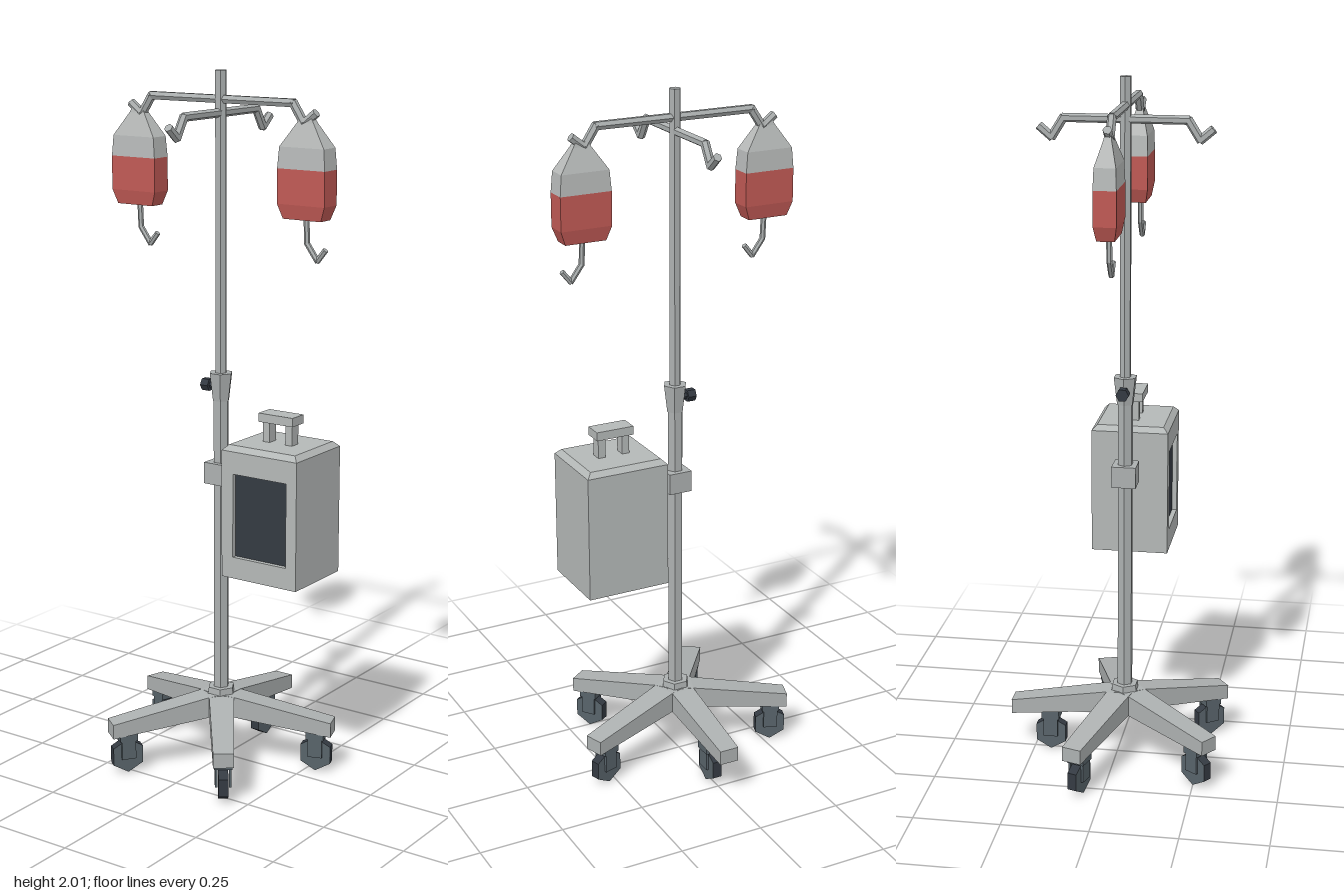
import * as THREE from 'three';

const mat = (name, color) => {
  const m = new THREE.MeshStandardMaterial({ color, flatShading: true });
  m.name = name;
  return m;
};
const V = (x, y, z) => new THREE.Vector3(x, y, z);

// Skin between four-cornered rings, closed at both ends
function loft(rings) {
  const p = [];
  const quad = (a, b, c, d) => [a, b, c, a, c, d].forEach(v => p.push(v.x, v.y, v.z));
  for (let k = 0; k < rings.length - 1; k++) {
    for (let i = 0; i < 4; i++) {
      const j = (i + 1) % 4;
      quad(rings[k][i], rings[k][j], rings[k + 1][j], rings[k + 1][i]);
    }
  }
  quad(...rings[rings.length - 1]);
  quad(...[...rings[0]].reverse());
  const g = new THREE.BufferGeometry();
  g.setAttribute('position', new THREE.Float32BufferAttribute(p, 3));
  g.computeVertexNormals();
  return g;
}
// Horizontal rectangle with half sizes w and d at height y
const ringY = (y, w, d, x = 0, z = 0) => [V(x + w, y, z + d), V(x + w, y, z - d), V(x - w, y, z - d), V(x - w, y, z + d)];
// Upright rectangle at distance z
const ringZ = (z, w, y0, y1) => [V(w, y0, z), V(w, y1, z), V(-w, y1, z), V(-w, y0, z)];

export function createModel() {
  const root = new THREE.Group();
  root.name = 'dripStand';
  const stand = new THREE.Group();
  stand.name = 'stand';
  stand.position.z = 0.023;
  root.add(stand);

  const metal = mat('metal grey', 0xacb0b0);
  const shell = mat('casing grey', 0xb4b8b7);
  const clear = mat('bag grey', 0xb8bbba);
  const red = mat('fluid red', 0xc05a55);
  const dark = mat('dark grey', 0x343a42);
  const slate = mat('caster slate', 0x58636a);

  const add = (parent, name, geo, m, x = 0, y = 0, z = 0) => {
    const mesh = new THREE.Mesh(geo, m);
    mesh.name = name;
    mesh.position.set(x, y, z);
    parent.add(mesh);
    return mesh;
  };
  const box = (parent, name, m, x0, x1, y0, y1, z0, z1) =>
    add(parent, name, new THREE.BoxGeometry(x1 - x0, y1 - y0, z1 - z0), m, (x0 + x1) / 2, (y0 + y1) / 2, (z0 + z1) / 2);
  const hex = (parent, name, m, rTop, rBottom, y0, y1) =>
    add(parent, name, new THREE.CylinderGeometry(rTop, rBottom, y1 - y0, 6).rotateY(Math.PI / 6), m, 0, (y0 + y1) / 2, 0);
  // Bent rod made of straight six-sided pieces
  const rod = (parent, name, m, r, points) => {
    const g = new THREE.Group();
    g.name = name;
    parent.add(g);
    for (let i = 0; i < points.length - 1; i++) {
      const dir = points[i + 1].clone().sub(points[i]);
      const piece = add(g, name + 'Piece', new THREE.CylinderGeometry(r, r, dir.length() + r * 0.6, 6), m);
      piece.position.copy(points[i]).addScaledVector(dir, 0.5);
      piece.quaternion.setFromUnitVectors(V(0, 1, 0), dir.normalize());
    }
  };

  // Telescopic pole, collar and locking knob
  hex(stand, 'lowerPole', metal, 0.023, 0.023, 0.13, 1.09);
  hex(stand, 'upperPole', metal, 0.017, 0.017, 1.09, 2);
  hex(stand, 'collar', metal, 0.035, 0.025, 1.08, 1.16);
  const knob = add(stand, 'lockKnob', new THREE.CylinderGeometry(0.019, 0.019, 0.025, 6), dark, -0.047, 1.12, 0);
  knob.rotation.z = Math.PI / 2;
  const stem = add(stand, 'knobStem', new THREE.CylinderGeometry(0.01, 0.01, 0.03, 6), dark, -0.028, 1.12, 0);
  stem.rotation.z = Math.PI / 2;

  // Five-legged base
  hex(stand, 'hub', metal, 0.04, 0.05, 0.14, 0.22);
  const legGeo = loft([ringZ(0, 0.036, 0.138, 0.203), ringZ(0.05, 0.036, 0.138, 0.2), ringZ(0.338, 0.029, 0.107, 0.15)]);
  const wheelGeo = new THREE.CylinderGeometry(0.051, 0.051, 0.028, 6).rotateY(Math.PI / 6).rotateZ(Math.PI / 2);
  for (let i = 0; i < 5; i++) {
    const leg = new THREE.Group();
    leg.name = 'leg' + (i + 1);
    leg.rotation.y = Math.PI + i * Math.PI * 0.4;
    stand.add(leg);
    add(leg, 'legBeam', legGeo, metal);
    // Caster; the rear one sits further in
    const r = i === 0 ? 0.222 : 0.29;
    const caster = new THREE.Group();
    caster.name = 'caster';
    caster.position.z = r;
    leg.add(caster);
    box(caster, 'forkTop', slate, -0.026, 0.026, 0.092, 0.128, -0.026, 0.026);
    for (const s of [-1, 1]) {
      add(caster, 'forkSide', new THREE.BoxGeometry(0.007, 0.06, 0.042), slate, s * 0.02, 0.067, 0);
    }
    add(caster, 'wheel', wheelGeo, [dark, slate, slate], 0, 0.0445, 0);
  }

  // Crossed bars with hooked ends
  const barEnds = [[0.235, 0], [0.27, -0.053], [0.305, -0.025]];
  const crossEnds = [[0.172, 0], [0.205, -0.053], [0.238, -0.025]];
  const path = (ends, at) => [
    ...[...ends].reverse().map(([a, h]) => at(-a, h)), ...ends.map(([a, h]) => at(a, h))];
  rod(stand, 'sideBar', metal, 0.0125, path(barEnds, (a, h) => V(a, 1.922 + h, 0)));
  rod(stand, 'frontBackBar', metal, 0.0125, path(crossEnds, (a, h) => V(0, 1.885 + h, a)));

  // Hanging bags, each with a hooked outlet tube
  const fluidGeo = loft([ringY(1.615, 0.06, 0.024), ringY(1.655, 0.075, 0.031), ringY(1.75, 0.075, 0.031)]);
  const bagGeo = loft([ringY(1.75, 0.075, 0.031), ringY(1.808, 0.07, 0.029), ringY(1.872, 0.026, 0.011), ringY(1.885, 0.018, 0.009)]);
  for (const s of [-1, 1]) {
    const bag = new THREE.Group();
    bag.name = s > 0 ? 'leftBag' : 'rightBag';
    bag.position.x = s * 0.28;
    stand.add(bag);
    add(bag, 'fluid', fluidGeo, red);
    add(bag, 'bagTop', bagGeo, clear);
    rod(bag, 'outletTube', metal, 0.008, [V(0, 1.62, 0), V(0.003, 1.55, 0), V(0.036, 1.505, 0), V(0.06, 1.535, 0)]);
  }

  // Clamp and arm carrying the pump
  box(stand, 'clamp', metal, -0.035, 0.035, 0.838, 0.9, -0.035, 0.035);
  box(stand, 'clampArm', metal, 0.03, 0.09, 0.85, 0.88, -0.016, 0.016);

  // Pump casing with a recessed screen
  const pump = new THREE.Group();
  pump.name = 'pump';
  stand.add(pump);
  const w = 0.1235, d = 0.112, cx = 0.204;
  box(pump, 'casing', shell, cx - w, cx + w, 0.603, 0.97, -d, d - 0.02);
  add(pump, 'casingLid', loft([ringY(0.97, w, d), ringY(0.985, w - 0.015, d - 0.015)]), shell, cx);
  const rect = (S, x0, x1, y0, y1) => {
    const s = new S();
    s.moveTo(x0, y0).lineTo(x1, y0).lineTo(x1, y1).lineTo(x0, y1).closePath();
    return s;
  };
  const face = rect(THREE.Shape, cx - w, cx + w, 0.603, 0.97);
  face.holes.push(rect(THREE.Path, 0.118, 0.294, 0.665, 0.906));
  add(pump, 'frontFrame', new THREE.ExtrudeGeometry(face, { depth: 0.02, bevelEnabled: false }), shell, 0, 0, d - 0.02);
  box(pump, 'screen', dark, 0.118, 0.294, 0.665, 0.906, d - 0.021, d - 0.014);

  // Carrying handle
  for (const x of [0.165, 0.239]) box(pump, 'handlePost', shell, x - 0.011, x + 0.011, 0.98, 1.046, -0.016, 0.016);
  box(pump, 'handleBar', shell, 0.146, 0.259, 1.043, 1.068, -0.028, 0.028);

  return root;
}
